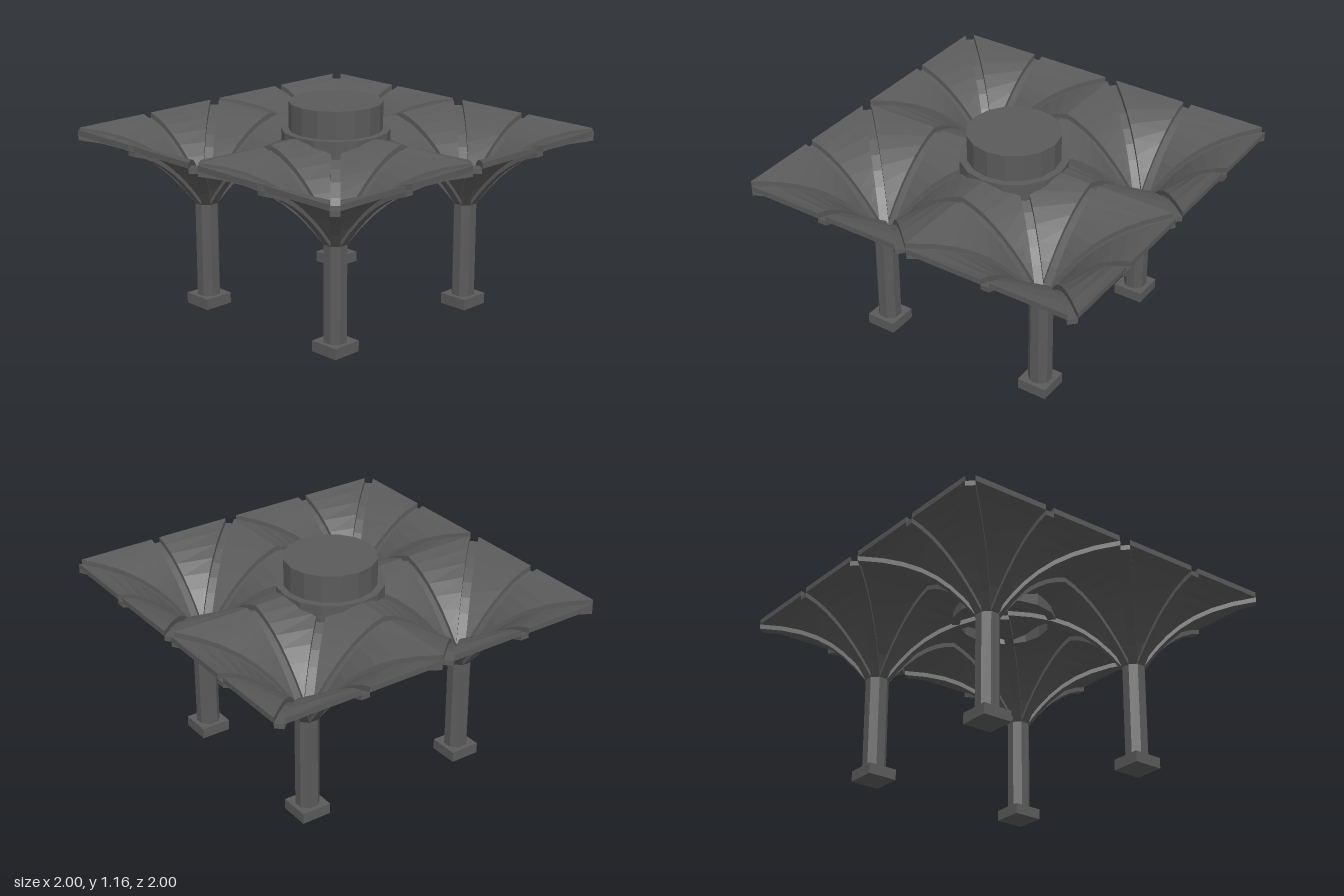
import * as THREE from 'three';

const HALF = 0.025;      // half rib width, one octagon side is a full rib
const ROOT = 0.06;       // octagon apothem of the column
const STEPS = 7;

// Skin a list of four-corner sections into a closed solid
function loft(sections) {
  const pos = [];
  const quad = (a, b, c, d) => pos.push(...a, ...b, ...c, ...a, ...c, ...d);
  for (let i = 0; i < sections.length - 1; i++) {
    const p = sections[i], q = sections[i + 1];
    for (let j = 0; j < 4; j++) {
      const k = (j + 1) % 4;
      quad(p[j], p[k], q[k], q[j]);
    }
  }
  const s = sections[0], e = sections[sections.length - 1];
  quad(s[3], s[2], s[1], s[0]);
  quad(e[0], e[1], e[2], e[3]);
  const geo = new THREE.BufferGeometry();
  geo.setAttribute('position', new THREE.Float32BufferAttribute(pos, 3));
  geo.computeVertexNormals();
  return geo;
}

// Point on the fan curve of rib k: side offset v, lifted by dy
function fanPoint(k, s, v, dy) {
  const a = k * Math.PI / 4;
  const extra = k % 2 ? Math.SQRT1_2 - HALF - 0.5 : 0;
  const r = ROOT + s * (0.5 - ROOT + extra * s * s);
  const y = 0.615 + 0.355 * (1.7 * s - 0.7 * s * s) + dy;
  return [r * Math.cos(a) - v * Math.sin(a), y, r * Math.sin(a) + v * Math.cos(a)];
}

function sweep(section) {
  return loft(Array.from({ length: STEPS + 1 }, (_, i) => section(i / STEPS)));
}

export function createModel() {
  const model = new THREE.Group();
  model.name = 'vaultedCanopy';
  const stone = new THREE.MeshStandardMaterial({ color: 0x5a5a5a, flatShading: true });
  stone.name = 'dark grey stone';

  const add = (parent, name, geo, y = 0) => {
    const mesh = new THREE.Mesh(geo, stone);
    mesh.name = name;
    mesh.position.y = y;
    parent.add(mesh);
  };

  // Shared geometry for the four bays
  const baseGeo = new THREE.BoxGeometry(0.17, 0.06, 0.17);
  const columnGeo = new THREE.CylinderGeometry(0.065, 0.065, 0.56, 8);
  columnGeo.rotateY(Math.PI / 8);
  const ribs = [], webs = [];
  for (let k = 0; k < 8; k++) {
    ribs.push(sweep(s => [
      fanPoint(k, s, HALF, -0.027), fanPoint(k, s, -HALF, -0.027),
      fanPoint(k, s, -HALF, 0), fanPoint(k, s, HALF, 0)]));
    webs.push(sweep(s => [
      fanPoint(k + 1, s, -HALF, 0), fanPoint(k, s, HALF, 0),
      fanPoint(k, s, HALF, 0.03), fanPoint(k + 1, s, -HALF, 0.03)]));
  }

  // Four fan-vault bays
  for (const x of [-0.5, 0.5]) for (const z of [-0.5, 0.5]) {
    const bay = new THREE.Group();
    bay.name = 'vaultBay';
    bay.position.set(x, 0, z);
    add(bay, 'base', baseGeo, 0.03);
    add(bay, 'column', columnGeo, 0.335);
    ribs.forEach(g => add(bay, 'rib', g));
    webs.forEach(g => add(bay, 'vaultWeb', g));
    model.add(bay);
  }

  // Open collar around the crown, with a closed drum above
  const collar = [[0.25, 0.9], [0.295, 0.9], [0.295, 1.005], [0.25, 1.005], [0.25, 0.9]]
    .map(([r, y]) => new THREE.Vector2(r, y));
  add(model, 'collar', new THREE.LatheGeometry(collar, 16));
  add(model, 'drum', new THREE.CylinderGeometry(0.255, 0.255, 0.16, 16), 1.077);
  return model;
}
